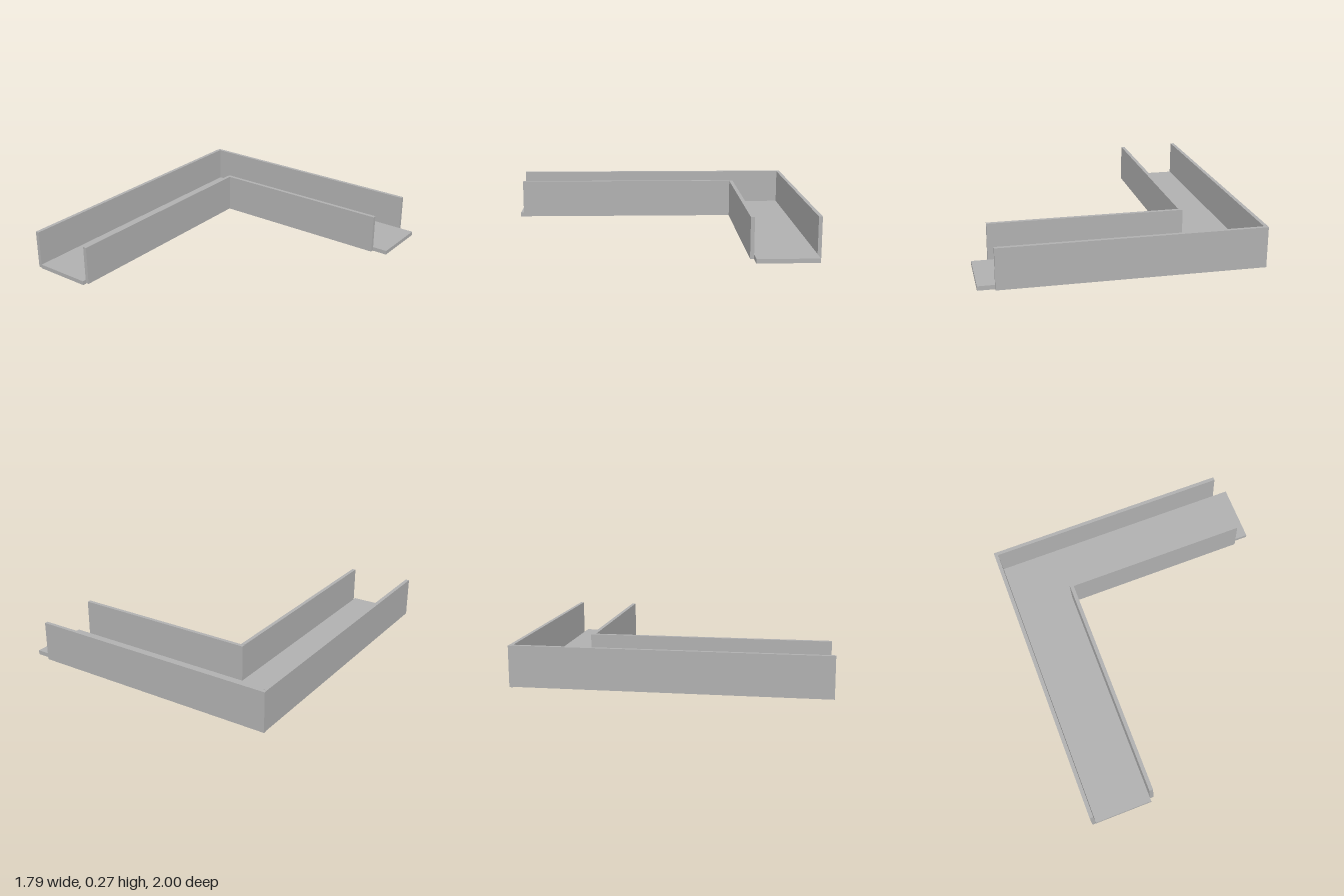
import * as THREE from 'three';

export function createModel() {
  const group = new THREE.Group();
  group.name = 'cornerChannel';
  const grey = new THREE.MeshStandardMaterial({ color: 0xb0b0b0 });
  grey.name = 'plain grey';

  const add = (name, geometry) => {
    const mesh = new THREE.Mesh(geometry, grey);
    mesh.name = name;
    group.add(mesh);
  };

  // Box given by its extents along each axis
  const wall = (name, [x0, x1], [y0, y1], [z0, z1]) => {
    const geometry = new THREE.BoxGeometry(x1 - x0, y1 - y0, z1 - z0);
    geometry.translate((x0 + x1) / 2, (y0 + y1) / 2, (z0 + z1) / 2);
    add(name, geometry);
  };

  // L-shaped floor, drawn in x and -z, then laid flat
  const outline = [
    [-0.87, -1], [-0.475, -1], [-0.475, 0.582],
    [0.893, 0.582], [0.893, 0.976], [-0.87, 0.976],
  ].map(([x, y]) => new THREE.Vector2(x, y));
  const floor = new THREE.ExtrudeGeometry(new THREE.Shape(outline), { depth: 0.028, bevelEnabled: false });
  floor.rotateX(-Math.PI / 2);
  add('floor', floor);

  // Outer walls meet at the back corner
  wall('outerSideWall', [-0.893, -0.868], [0.005, 0.268], [-0.976, 1]);
  wall('outerBackWall', [-0.893, 0.787], [0.002, 0.266], [-1, -0.976]);

  // Inner walls stop short of the floor ends
  wall('innerSideWall', [-0.475, -0.45], [0.006, 0.268], [-0.557, 0.975]);
  wall('innerFrontWall', [-0.475, 0.79], [0.002, 0.266], [-0.582, -0.557]);

  return group;
}
